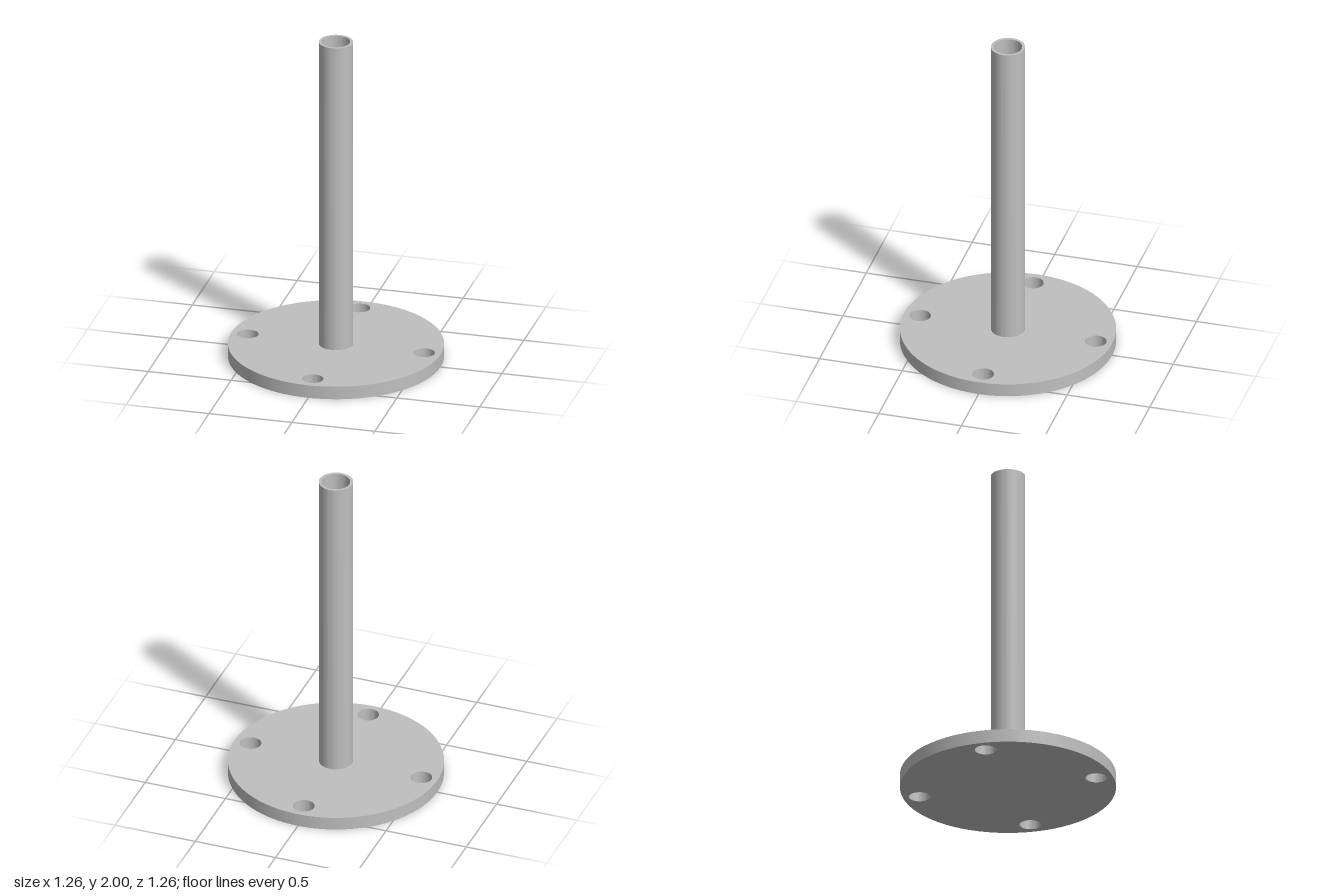
import * as THREE from 'three';
import { toCreasedNormals } from 'three/addons/utils/BufferGeometryUtils.js';

// Round plate or tube: a disc with circular holes [x, z, radius], raised from y0 to y1
function drilledDisc(radius, holes, y0, y1) {
  const shape = new THREE.Shape().absarc(0, 0, radius, 0, Math.PI * 2);
  for (const [x, z, r] of holes) {
    shape.holes.push(new THREE.Path().absarc(x, -z, r, 0, Math.PI * 2, true));
  }
  const geometry = new THREE.ExtrudeGeometry(shape, {
    depth: y1 - y0, bevelEnabled: false, curveSegments: 72,
  });
  geometry.rotateX(-Math.PI / 2);
  geometry.translate(0, y0, 0);
  return toCreasedNormals(geometry, 0.5);
}

export function createModel() {
  const group = new THREE.Group();
  group.name = 'flangedPost';

  const steel = new THREE.MeshStandardMaterial({ color: 0xbfbfbf });
  steel.name = 'steel grey';

  const plateTop = 0.08;

  // Base flange with four bolt holes
  const boltHoles = [0, 1, 2, 3].map((i) => {
    const a = (i * Math.PI) / 2;
    return [0.532 * Math.cos(a), 0.532 * Math.sin(a), 0.063];
  });
  const flange = new THREE.Mesh(drilledDisc(0.63, boltHoles, 0, plateTop), steel);
  flange.name = 'baseFlange';
  group.add(flange);

  // Hollow post, open at the top and closed below by the flange
  const post = new THREE.Mesh(drilledDisc(0.1, [[0, 0, 0.083]], plateTop, 2), steel);
  post.name = 'hollowPost';
  group.add(post);

  return group;
}
